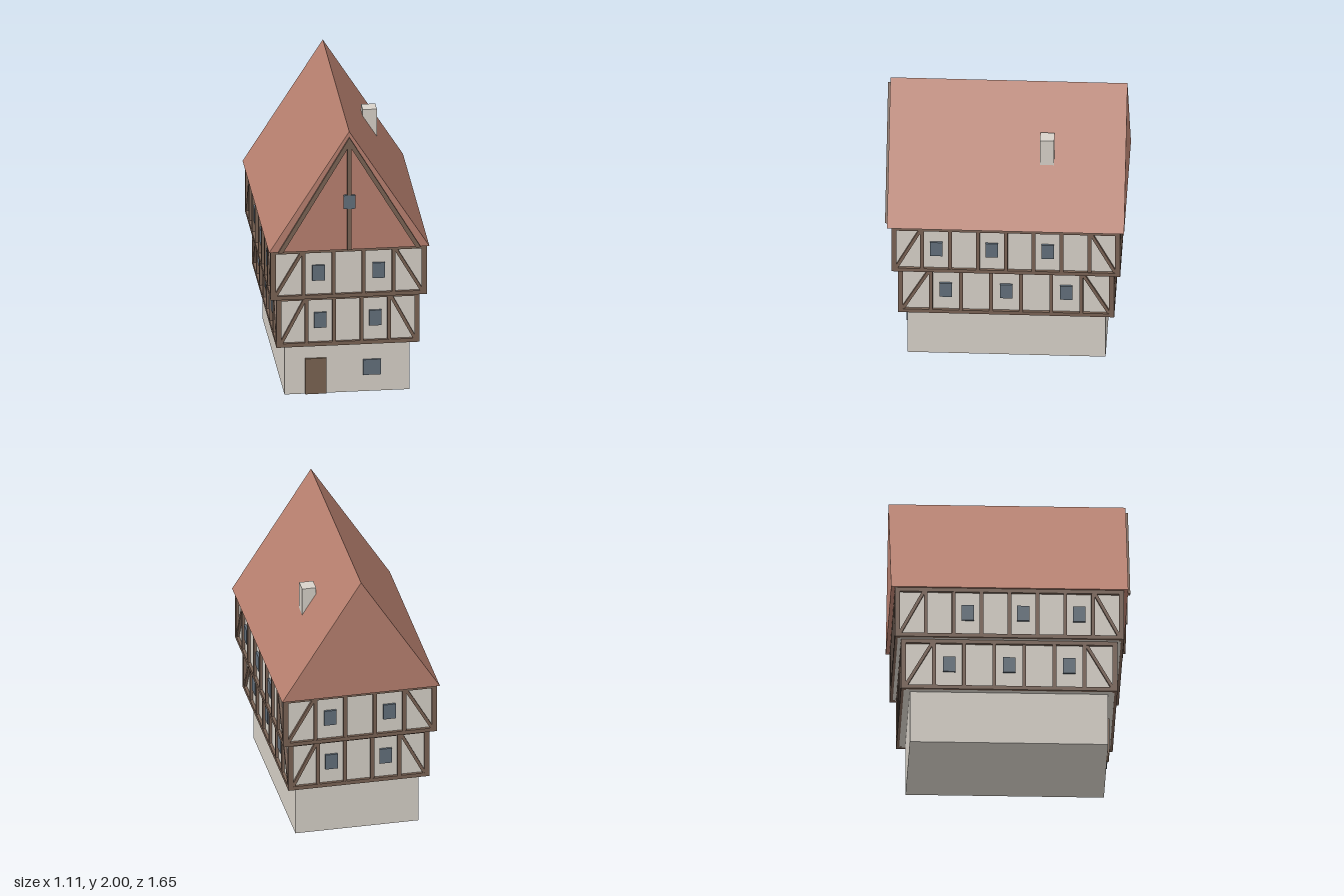
import * as THREE from 'three';

const mat = (name, color) => {
  const m = new THREE.MeshStandardMaterial({ color });
  m.name = name;
  return m;
};

export function createModel() {
  const plaster = mat('plaster', 0xd8d2c9);
  const timber = mat('timber', 0x7a6355);
  const tile = mat('roof tile', 0xb98170);
  const glass = mat('window glass', 0x63707c);
  const doorWood = mat('door wood', 0x7a6452);

  const model = new THREE.Group();
  model.name = 'timberFramedHouse';
  const ZC = -0.007; // depth centre of the walls

  // Box given by centre and size
  const box = (parent, name, material, [x, y, z], [w, h, d]) => {
    const mesh = new THREE.Mesh(new THREE.BoxGeometry(w, h, d), material);
    mesh.position.set(x, y, z);
    mesh.name = name;
    parent.add(mesh);
    return mesh;
  };
  // Flat outline in x and y, extruded from z to z + depth
  const prism = (name, material, points, z, depth) => {
    const shape = new THREE.Shape(points.map(([x, y]) => new THREE.Vector2(x, y)));
    const mesh = new THREE.Mesh(
      new THREE.ExtrudeGeometry(shape, { depth, bevelEnabled: false }), material);
    mesh.position.z = z;
    mesh.name = name;
    model.add(mesh);
  };

  const BEAM = 0.028, OUT = 0.02; // beam width and projection

  // One framed side of a storey; local z = 0 is the wall plane
  function framedSide(name, width, height, bays, windowBays) {
    const side = new THREE.Group();
    side.name = name;
    const full = width + 2 * OUT, bay = width / bays;
    for (const y of [BEAM / 2, height - BEAM / 2])
      box(side, 'rail', timber, [0, y, OUT / 2], [full, BEAM, OUT]);
    for (let i = 1; i < bays; i++)
      box(side, 'post', timber, [-width / 2 + i * bay, height / 2, OUT / 2 - 0.0005],
        [0.026, height - BEAM, OUT - 0.001]);
    // Braces lean inwards in the two end bays
    for (const s of [-1, 1]) {
      const dx = bay - 0.028, dy = height - 2 * BEAM;
      const brace = box(side, 'brace', timber,
        [s * (width / 2 - bay / 2), height / 2, OUT / 2 - 0.001],
        [0.022, Math.hypot(dx, dy), OUT - 0.002]);
      brace.rotation.z = s * Math.atan2(dx, dy);
    }
    for (const i of windowBays)
      box(side, 'window', glass, [-width / 2 + (i + 0.5) * bay, height / 2 + 0.004, 0.0075],
        [0.086, 0.113, 0.015]);
    return side;
  }

  // Storey: plaster core, corner posts and four framed sides
  function storey(name, y, halfW, halfD, height, sideBays, rightWindows) {
    const group = new THREE.Group();
    group.name = name;
    group.position.set(0, y, ZC);
    box(group, 'wall', plaster, [0, height / 2, 0], [halfW * 2, height - 0.004, halfD * 2]);
    for (const sx of [-1, 1]) for (const sz of [-1, 1])
      box(group, 'cornerPost', timber,
        [sx * (halfW + 0.0025), height / 2, sz * (halfD + 0.0025)], [0.035, height, 0.035]);
    const mirrored = rightWindows.map((i) => sideBays - 1 - i);
    const sides = [
      ['frontFrame', 0, halfW, halfD, 5, [1, 3]],
      ['backFrame', Math.PI, halfW, halfD, 5, [1, 3]],
      ['leftFrame', Math.PI / 2, halfD, halfW, sideBays, rightWindows],
      ['rightFrame', -Math.PI / 2, halfD, halfW, sideBays, mirrored],
    ];
    for (const [label, angle, half, dist, bays, windows] of sides) {
      const side = framedSide(label, half * 2, height, bays, windows);
      side.rotation.y = angle;
      side.position.set(Math.sin(angle) * dist, 0, Math.cos(angle) * dist);
      group.add(side);
    }
    model.add(group);
  }

  // Ground floor with door and window
  box(model, 'groundFloor', plaster, [0, 0.19, ZC], [0.866, 0.38, 1.365]);
  box(model, 'door', doorWood, [-0.217, 0.132, 0.68], [0.146, 0.264, 0.018]);
  box(model, 'groundWindow', glass, [0.173, 0.182, 0.68], [0.124, 0.113, 0.018]);

  // Jettied upper floors
  storey('firstFloor', 0.377, 0.476, 0.725, 0.373, 7, [1, 3, 5]);
  storey('secondFloor', 0.75, 0.52, 0.768, 0.37, 8, [1, 3, 5]);

  // Solid gabled roof
  prism('roof', tile, [[-0.555, 1.12], [0.555, 1.12], [0, 2]], -0.822, 1.632);

  // Front gable timbers and window
  prism('gableRafters', timber, [[-0.494, 1.12], [-0.46, 1.12], [0, 1.9],
    [0.46, 1.12], [0.494, 1.12], [0, 1.96]], 0.808, 0.018);
  box(model, 'gablePost', timber, [0, 1.52, 0.816], [0.028, 0.8, 0.016]);
  box(model, 'gableWindow', glass, [0, 1.48, 0.818], [0.08, 0.1, 0.02]);

  // Chimney
  box(model, 'chimney', plaster, [0.259, 1.557, -0.281], [0.098, 0.316, 0.098]);

  return model;
}
